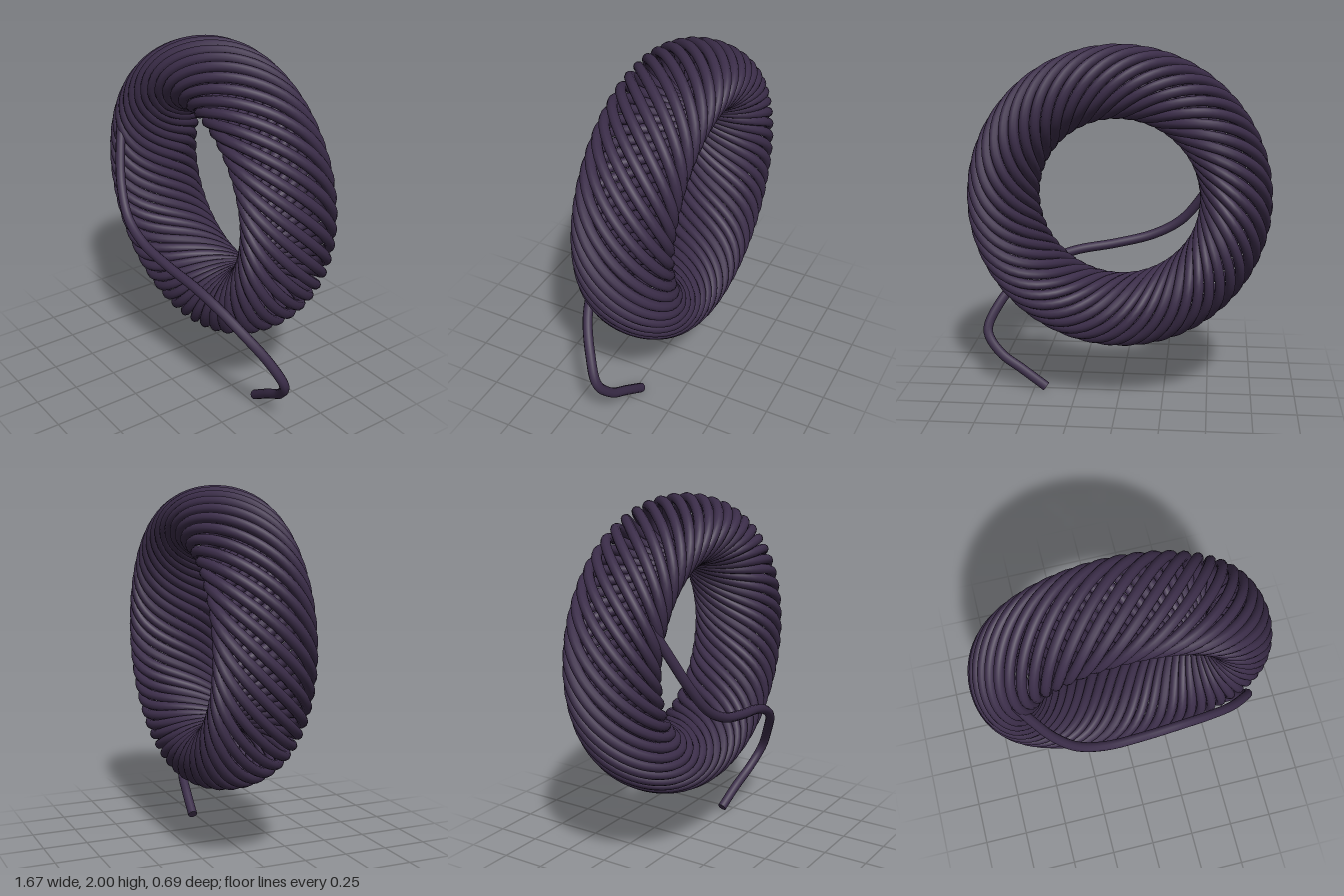
import * as THREE from 'three';

const ROPE_RADIUS = 0.0275;
const CENTRE = new THREE.Vector3(0, 1.165, -0.0625);
const RING_RADIUS = 0.638;   // middle of the coil
const SECTION_R = 0.17;      // half size of the oval section, radially
const SECTION_Z = 0.25;      // half size of the oval section, front to back
const LAPS = 14;             // trips round the ring
const TURNS = 47;            // wraps round the oval section

// One continuous strand wound helically on an oval-section ring
class CoilCurve extends THREE.Curve {
  getPoint(t, target = new THREE.Vector3()) {
    const around = t * LAPS * Math.PI * 2;
    const wrap = t * TURNS * Math.PI * 2;
    const r = RING_RADIUS + SECTION_R * Math.cos(wrap);
    return target.set(
      r * Math.cos(around),
      r * Math.sin(around),
      SECTION_Z * Math.sin(wrap)
    ).add(CENTRE);
  }
}

export function createModel() {
  const group = new THREE.Group();
  group.name = 'ropeCoil';
  const material = new THREE.MeshStandardMaterial({ color: 0x3b2d49 });

  const add = (name, geometry) => {
    const mesh = new THREE.Mesh(geometry, material);
    mesh.name = name;
    group.add(mesh);
    return mesh;
  };

  // Wound coil
  const coil = new CoilCurve();
  coil.arcLengthDivisions = 5000;
  add('woundCoil', new THREE.TubeGeometry(coil, TURNS * 44, ROPE_RADIUS, 10, true));

  // Loose end leaving the front of the coil and hanging below it
  const loose = new THREE.CatmullRomCurve3([
    [-0.62, 1.44, 0.16],
    [-0.54, 1.27, 0.225],
    [-0.45, 1.1, 0.28],
    [-0.33, 0.95, 0.315],
    [-0.17, 0.86, 0.32],
    [0.05, 0.805, 0.30],
    [0.28, 0.765, 0.272],
    [0.45, 0.705, 0.24],
    [0.6, 0.61, 0.19],
    [0.72, 0.47, 0.11],
    [0.775, 0.33, 0.045],
    [0.7, 0.215, 0.005],
    [0.56, 0.12, -0.02],
    [0.425, 0.026, -0.036]
  ].map(p => new THREE.Vector3(...p)));
  add('looseEnd', new THREE.TubeGeometry(loose, 110, ROPE_RADIUS, 10, false));

  // Flat cut closing each tip of the loose end
  for (const t of [0, 1]) {
    const cap = add(t ? 'cutTip' : 'tuckedTip', new THREE.CircleGeometry(ROPE_RADIUS, 10));
    const outward = loose.getTangentAt(t).multiplyScalar(t ? 1 : -1);
    cap.position.copy(loose.getPointAt(t));
    cap.quaternion.setFromUnitVectors(new THREE.Vector3(0, 0, 1), outward);
  }

  return group;
}
